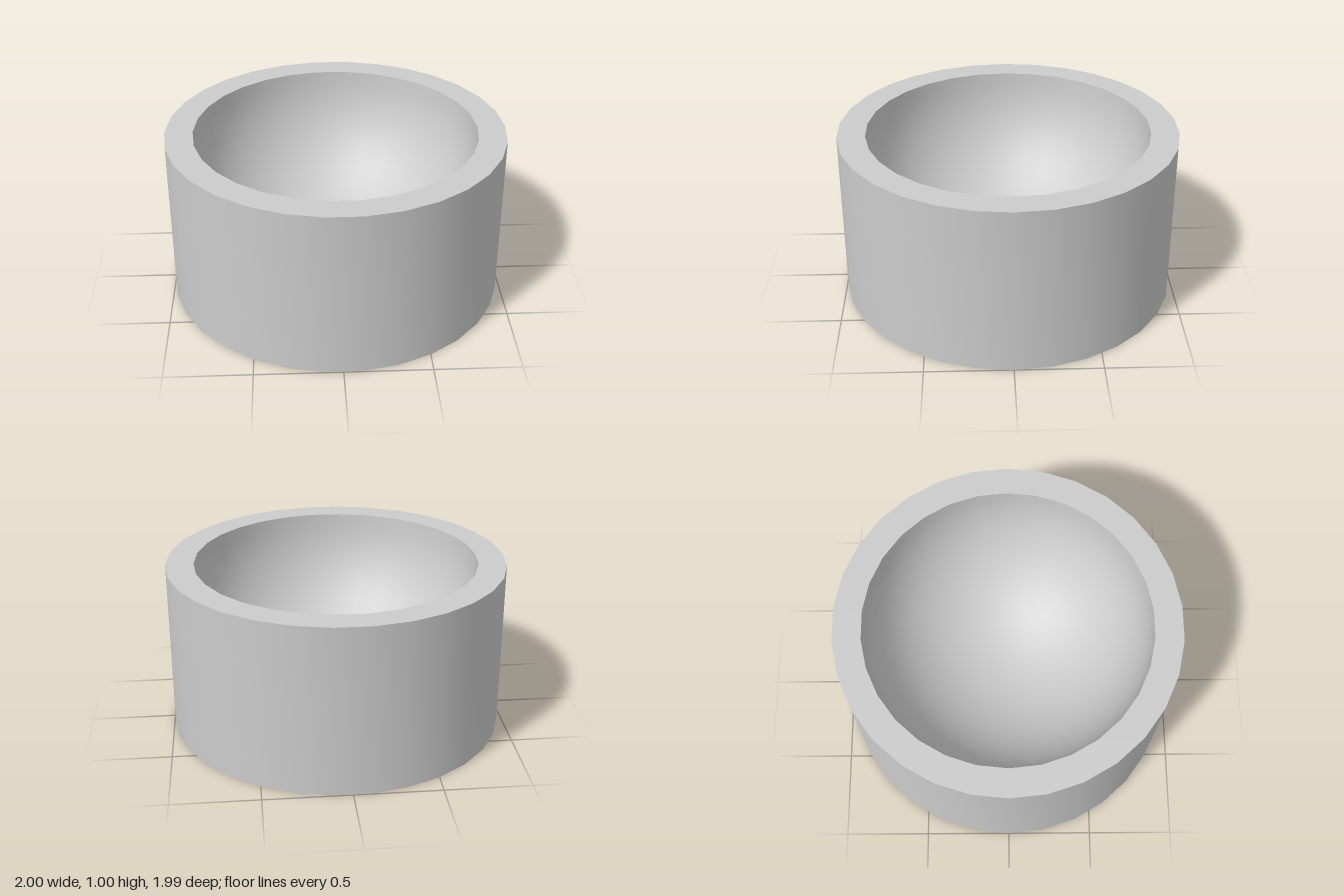
import * as THREE from 'three';
import { toCreasedNormals } from 'three/addons/utils/BufferGeometryUtils.js';

const SIDES = 30;
const OUTER = 1, HEIGHT = 1, INNER = 0.835;

export function createModel() {
  const group = new THREE.Group();
  group.name = 'bowlBlock';

  // Flat base, straight outer wall and flat rim
  const profile = [
    new THREE.Vector2(0, 0),
    new THREE.Vector2(OUTER, 0),
    new THREE.Vector2(OUTER, HEIGHT),
  ];

  // Hemispherical hollow, from the rim down to the middle
  const steps = 16;
  for (let i = 0; i <= steps; i++) {
    const a = (i / steps) * Math.PI / 2;
    const r = i === steps ? 0 : INNER * Math.cos(a);
    profile.push(new THREE.Vector2(r, HEIGHT - INNER * Math.sin(a)));
  }

  // Start on the x axis so that corners lie at x = -1 and x = 1
  const lathe = new THREE.LatheGeometry(profile, SIDES, Math.PI / 2);
  const body = new THREE.Mesh(
    toCreasedNormals(lathe, 0.6),
    new THREE.MeshStandardMaterial({ color: 0xcccccc })
  );
  body.name = 'roundBowl';
  group.add(body);

  return group;
}
